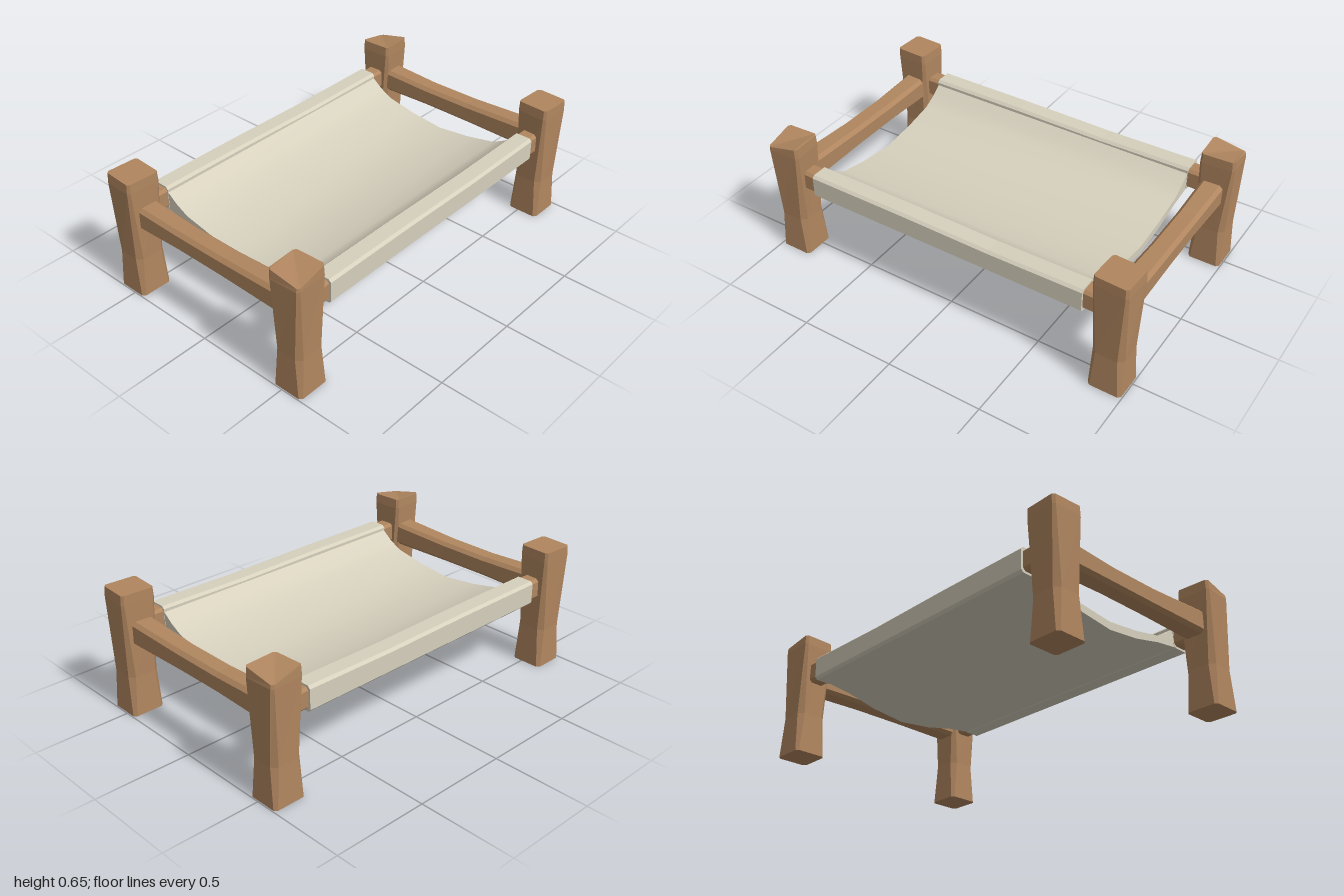
import * as THREE from 'three';

const wood = new THREE.MeshStandardMaterial({ color: 0xb0865f, flatShading: true });
wood.name = 'wood';
const cloth = new THREE.MeshStandardMaterial({ color: 0xd6d0bd });
cloth.name = 'cloth';

// Skin a list of rings (counter-clockwise about the direction of travel), with end caps
function loft(rings) {
  const pos = [];
  const n = rings[0].length;
  const tri = (...pts) => pts.forEach((p) => pos.push(...p));
  for (let i = 0; i < rings.length - 1; i++) {
    for (let j = 0; j < n; j++) {
      const k = (j + 1) % n;
      const [a, b, c, d] = [rings[i][j], rings[i][k], rings[i + 1][k], rings[i + 1][j]];
      tri(a, b, c);
      tri(a, c, d);
    }
  }
  const first = rings[0];
  const last = rings[rings.length - 1];
  for (let j = 1; j < n - 1; j++) {
    tri(first[0], first[j + 1], first[j]);
    tri(last[0], last[j], last[j + 1]);
  }
  const geo = new THREE.BufferGeometry();
  geo.setAttribute('position', new THREE.Float32BufferAttribute(pos, 3));
  geo.computeVertexNormals();
  return geo;
}

// Rectangle with four cut corners, counter-clockwise
function cutRect(w, h, c) {
  const [a, b] = [w / 2, h / 2];
  return [[a, -b + c], [a, b - c], [a - c, b], [-a + c, b],
    [-a, b - c], [-a, -b + c], [-a + c, -b], [a - c, -b]];
}

function add(group, name, geo, material) {
  const mesh = new THREE.Mesh(geo, material);
  mesh.name = name;
  group.add(mesh);
  return mesh;
}

// Hand-hewn post: narrow waist, wide cuts at mid height, optional worn top corner
function post(x, z, worn) {
  const levels = [[0, 0.172, 0.168, 0.014], [0.21, 0.162, 0.156, 0.026],
    [0.6, 0.178, 0.17, 0.012], [0.65, 0.172, 0.168, 0.012]];
  const twist = 0.05 * Math.sign(x * z);
  const rings = levels.map(([y, w, d, c], i) => cutRect(w, d, c).map(([px, pz]) => {
    const t = i > 1 ? twist : 0;
    const drop = worn && i === 3 && px * x > 0 && pz * z > 0 ? 0.03 : 0;
    return [x + px - pz * t, y - drop, z - (-pz) + px * t];
  }).reverse());
  return loft(rings);
}

// Rail along z, dipping in the middle
function sideRail(x) {
  const sections = [[-0.48, 0.5, 0.375, 0.118], [-0.18, 0.487, 0.38, 0.108],
    [0.1, 0.488, 0.379, 0.108], [0.48, 0.504, 0.376, 0.12]];
  return loft(sections.map(([z, top, bottom, w]) =>
    cutRect(w, top - bottom, 0.018).map(([px, py]) => [x + px, (top + bottom) / 2 + py, z])));
}

// Beam along x, used for the poles and for the cloth wrapped around them
function beam(halfLength, z, y, w, h, cut, dip) {
  return loft([-1, -0.3, 0.35, 1].map((t, i) =>
    cutRect(w, h, cut).map(([pz, py]) => {
      const sag = py > 0 && i === 2 ? dip : 0;
      return [t * halfLength, y + py - sag, z - pz];
    })));
}

// Sagging sheet with thickness: reshape a box by a symmetric profile
function sling() {
  const profile = [[0, 0.347, 0.305], [0.19, 0.368, 0.327], [0.35, 0.4, 0.364],
    [0.42, 0.437, 0.373], [0.49, 0.492, 0.383]];
  const geo = new THREE.BoxGeometry(1.51, 1, 8, 1, 1, 8);
  const p = geo.attributes.position;
  for (let i = 0; i < p.count; i++) {
    const s = Math.round(p.getZ(i));
    const [z, top, bottom] = profile[Math.abs(s)];
    p.setY(i, p.getY(i) > 0 ? top : bottom);
    p.setZ(i, Math.sign(s) * z);
  }
  geo.computeVertexNormals();
  return geo;
}

export function createModel() {
  const model = new THREE.Group();
  model.name = 'slingBed';

  for (const sx of [-1, 1]) {
    const side = sx > 0 ? 'Left' : 'Right';
    for (const sz of [-1, 1]) {
      const end = sz > 0 ? 'front' : 'back';
      add(model, end + side + 'Post', post(sx * 0.908, sz * 0.526, sx * sz < 0), wood);
    }
    add(model, 'side' + side + 'Rail', sideRail(sx * 0.898), wood);
  }

  // Poles and the cloth sleeves around them
  const sleeveCloth = cloth.clone();
  sleeveCloth.flatShading = true;
  for (const sz of [-1, 1]) {
    const end = sz > 0 ? 'front' : 'back';
    add(model, end + 'Pole', beam(0.88, sz * 0.521, 0.444, 0.09, 0.108, 0.014, 0), wood);
    add(model, end + 'Sleeve', beam(0.757, sz * 0.525, 0.443, 0.104, 0.128, 0.013, 0.006), sleeveCloth);
  }
  add(model, 'sling', sling(), cloth);

  return model;
}
